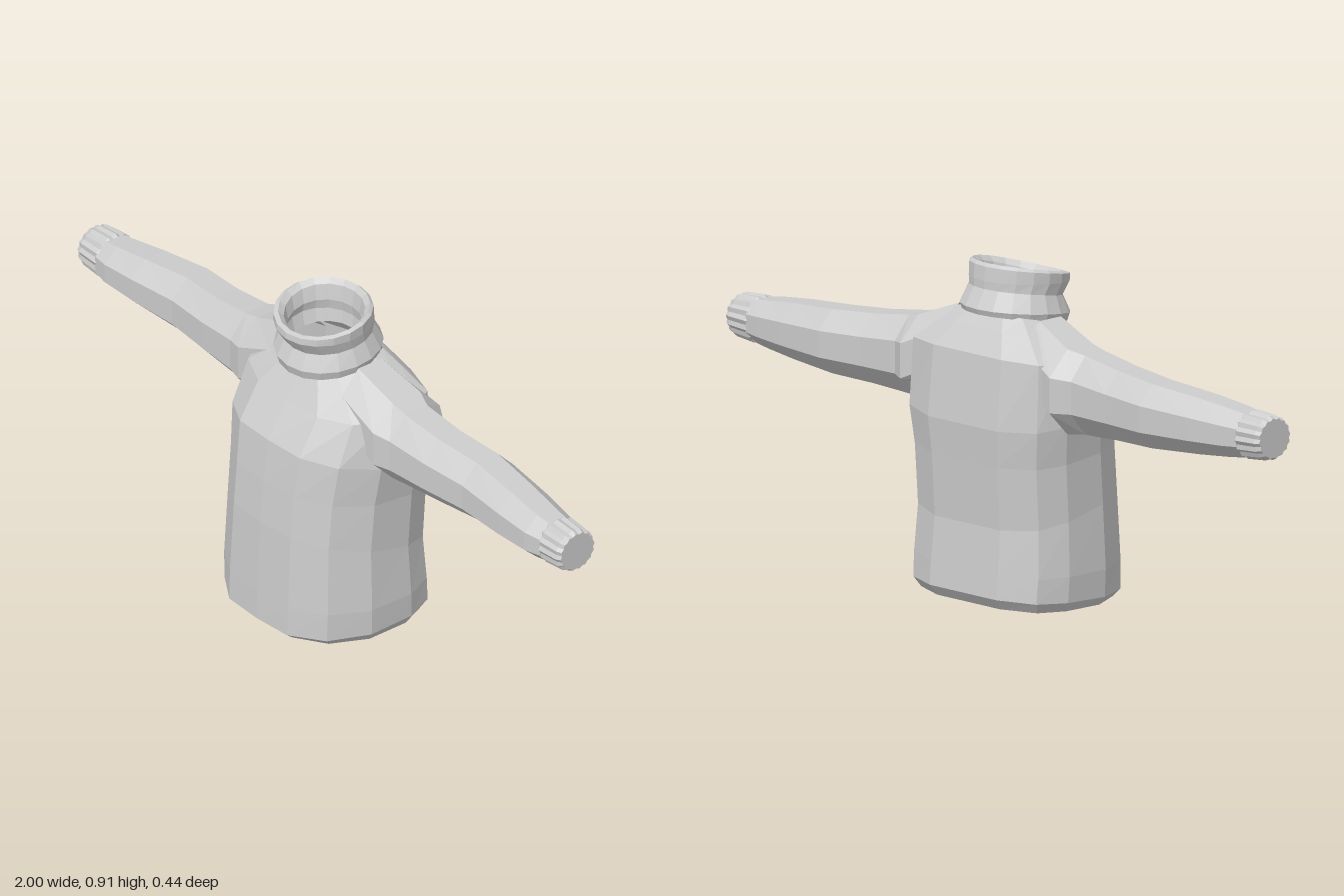
import * as THREE from 'three';

// Skin between closed rings of points, each ring an array of [x, y, z]
function loft(rings, material, name, cap = false) {
  const n = rings[0].length;
  const pos = rings.flat(2);
  const index = [];
  for (let i = 0; i < rings.length - 1; i++) {
    for (let j = 0; j < n; j++) {
      const a = i * n + j, b = i * n + (j + 1) % n;
      index.push(a, b, b + n, a, b + n, a + n);
    }
  }
  if (cap) {
    const last = rings[rings.length - 1], start = (rings.length - 1) * n;
    pos.push(...[0, 1, 2].map(k => last.reduce((sum, p) => sum + p[k], 0) / n));
    for (let j = 0; j < n; j++) index.push(start + j, start + (j + 1) % n, rings.length * n);
  }
  const geometry = new THREE.BufferGeometry();
  geometry.setAttribute('position', new THREE.Float32BufferAttribute(pos, 3));
  geometry.setIndex(index);
  const flat = geometry.toNonIndexed();
  flat.computeVertexNormals();
  const mesh = new THREE.Mesh(flat, material);
  mesh.name = name;
  return mesh;
}

// Tilted horizontal ring: half width, front z, back z, front y, back y
function bodyRing(outline, [w, zf, zb, yf, yb], bow = 0) {
  const mid = (zf + zb) / 2, half = (zf - zb) / 2;
  return outline.map(([u, v]) => {
    const t = (v + 1) / 2;
    return [u * w, yb + (yf - yb) * t + bow * 4 * t * (1 - t), mid + v * half];
  });
}

// Upright ring across an arm: x, top y, bottom y, front z, back z
function armRing(side, sides, [x, top, bottom, zf, zb], groove = 0) {
  return Array.from({ length: sides }, (_, i) => {
    const a = side * (i + 0.5) / sides * Math.PI * 2;
    const r = i % 2 ? 1 - groove : 1;
    const fit = sides === 8 ? 1.06 : 1;
    return [
      side * x,
      (top + bottom) / 2 + Math.cos(a) * r * fit * (top - bottom) / 2,
      (zf + zb) / 2 + Math.sin(a) * r * fit * (zf - zb) / 2,
    ];
  });
}

export function createModel() {
  const model = new THREE.Group();
  model.name = 'sweater';
  const knit = new THREE.MeshStandardMaterial({ color: 0xcccccc });
  knit.name = 'grey knit';
  knit.flatShading = true;
  knit.side = THREE.DoubleSide;

  // Torso, open at the hem and neck
  const right = [[0.45, 0.97], [0.8, 0.7], [1, 0.2], [1, -0.42], [0.87, -0.8], [0.47, -1]];
  const outline = [[0, 1], ...right, [0, -1], ...right.slice().reverse().map(([u, v]) => [-u, v])];
  const torso = [
    [0.25, 0.197, -0.195, 0.0, 0.006],
    [0.265, 0.22, -0.216, 0.018, 0.035],
    [0.268, 0.217, -0.21, 0.1, 0.1],
    [0.26, 0.206, -0.2, 0.31, 0.22],
    [0.262, 0.195, -0.21, 0.43, 0.39],
    [0.275, 0.18, -0.218, 0.55, 0.49],
    [0.27, 0.118, -0.2, 0.65, 0.68],
    [0.19, 0.085, -0.16, 0.705, 0.74],
    [0.135, 0.065, -0.132, 0.74, 0.78],
  ];
  model.add(loft(torso.map(r => bodyRing(outline, r)), knit, 'torso'));

  // Folded collar: two rolls outside, lining inside
  const circle = Array.from({ length: 18 }, (_, i) => {
    const a = i / 18 * Math.PI * 2;
    return [Math.sin(a), Math.cos(a)];
  });
  const collar = [
    [0.125, 0.08, -0.135, 0.745, 0.785],
    [0.145, 0.108, -0.16, 0.73, 0.775],
    [0.151, 0.116, -0.166, 0.755, 0.79],
    [0.132, 0.095, -0.138, 0.8, 0.84],
    [0.138, 0.12, -0.138, 0.838, 0.862],
    [0.14, 0.118, -0.134, 0.855, 0.9],
    [0.13, 0.105, -0.125, 0.859, 0.908],
    [0.115, 0.09, -0.112, 0.845, 0.895],
    [0.105, 0.085, -0.105, 0.81, 0.85],
    [0.112, 0.09, -0.11, 0.79, 0.82],
    [0.102, 0.085, -0.105, 0.745, 0.785],
  ];
  model.add(loft(collar.map(r => bodyRing(circle, r, 0.006)), knit, 'collar'));

  // Sleeves and ribbed cuffs
  const sleeve = [
    [0.15, 0.772, 0.55, 0.055, -0.14],
    [0.28, 0.722, 0.488, 0.055, -0.175],
    [0.33, 0.71, 0.493, 0.04, -0.145],
    [0.46, 0.692, 0.5, 0.03, -0.148],
    [0.6, 0.682, 0.505, 0.016, -0.16],
    [0.76, 0.668, 0.514, 0.024, -0.142],
    [0.87, 0.655, 0.523, 0.024, -0.125],
    [0.92, 0.648, 0.53, 0.014, -0.115],
  ];
  const cuff = [
    [0.905, 0.645, 0.533, 0.01, -0.11],
    [0.92, 0.656, 0.524, 0.017, -0.119],
    [0.985, 0.652, 0.53, 0.014, -0.114],
    [1.0, 0.646, 0.536, 0.007, -0.108],
  ];
  for (const side of [1, -1]) {
    const label = side > 0 ? 'left' : 'right';
    model.add(loft(sleeve.map(r => armRing(side, 8, r)), knit, label + 'Sleeve'));
    model.add(loft(cuff.map(r => armRing(side, 32, r, 0.08)), knit, label + 'Cuff', true));
  }
  return model;
}
